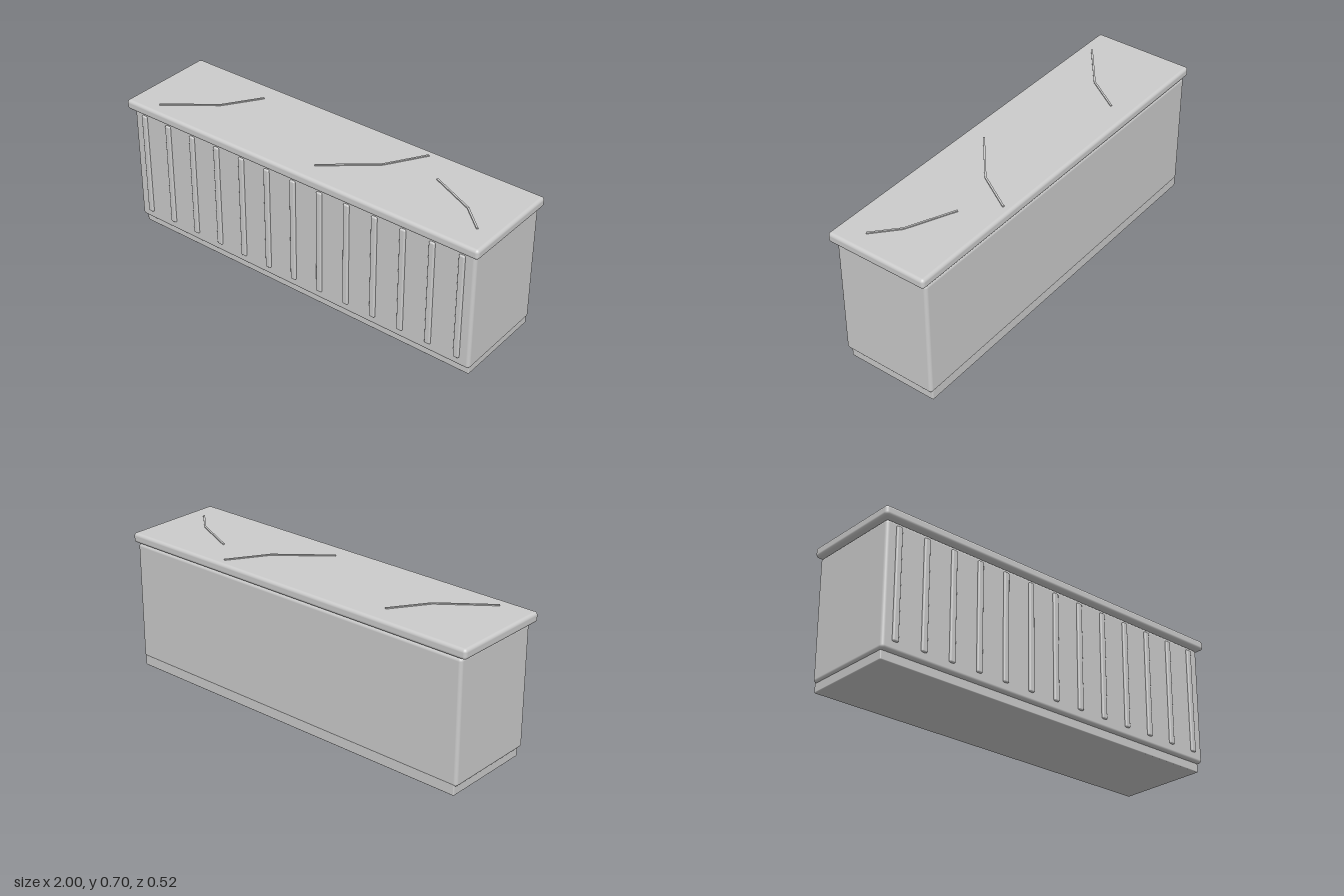
import * as THREE from 'three';
import { RoundedBoxGeometry } from 'three/addons/geometries/RoundedBoxGeometry.js';

const material = new THREE.MeshStandardMaterial({ color: 0xcccccc });

// Rounded block given by its limits on each axis
function block(name, [x0, x1], [y0, y1], [z0, z1], radius) {
  const geometry = new RoundedBoxGeometry(x1 - x0, y1 - y0, z1 - z0, 4, radius);
  const mesh = new THREE.Mesh(geometry, material);
  mesh.name = name;
  mesh.position.set((x0 + x1) / 2, (y0 + y1) / 2, (z0 + z1) / 2);
  return mesh;
}

// Thin raised strip on the worktop between two [x, z] points
function veinStrip([xa, za], [xb, zb]) {
  const length = Math.hypot(xb - xa, zb - za);
  const mesh = new THREE.Mesh(new THREE.BoxGeometry(length, 0.008, 0.009), material);
  mesh.name = 'veinStrip';
  mesh.position.set((xa + xb) / 2, 0.701, (za + zb) / 2);
  mesh.rotation.y = -Math.atan2(zb - za, xb - xa);
  return mesh;
}

export function createModel() {
  const counter = new THREE.Group();
  counter.name = 'counter';

  // Main volumes, with the plinth set back at the front
  counter.add(
    block('plinth', [-0.965, 0.965], [0, 0.055], [-0.254, 0.213], 0.005),
    block('body', [-0.976, 0.976], [0.043, 0.65], [-0.254, 0.234], 0.016),
    block('worktop', [-1, 1], [0.65, 0.7], [-0.261, 0.261], 0.016)
  );

  // Vertical slats along the front
  const slats = new THREE.Group();
  slats.name = 'frontSlats';
  const count = 13;
  for (let i = 0; i < count; i++) {
    const x = -0.91 + (1.82 * i) / (count - 1);
    slats.add(block('slat', [x - 0.015, x + 0.015], [0.087, 0.631], [0.222, 0.244], 0.007));
  }
  counter.add(slats);

  // Bent veins across the worktop
  const veins = [
    [[-0.84, 0.2], [-0.61, 0.022], [-0.492, -0.154]],
    [[0.067, 0.162], [0.3, -0.03], [0.418, -0.22]],
    [[0.558, -0.083], [0.79, 0.022], [0.906, 0.126]],
  ];
  for (const path of veins) {
    const vein = new THREE.Group();
    vein.name = 'worktopVein';
    for (let i = 1; i < path.length; i++) vein.add(veinStrip(path[i - 1], path[i]));
    counter.add(vein);
  }

  return counter;
}
